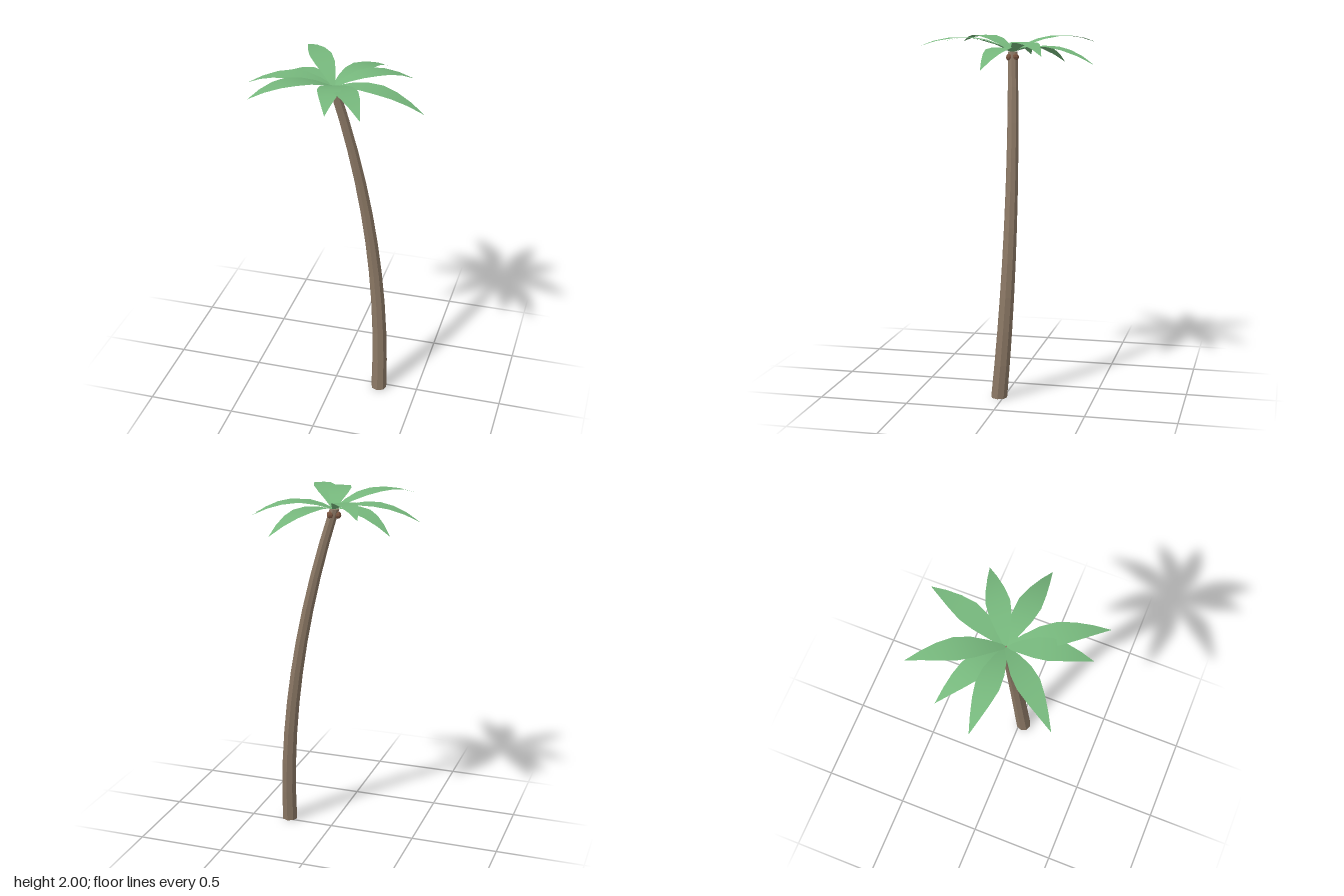
import * as THREE from 'three';

const trunkMat = new THREE.MeshStandardMaterial({ color: 0x8a7764, flatShading: true });
const nutMat = new THREE.MeshStandardMaterial({ color: 0x7a5540, flatShading: true });
const leafMat = new THREE.MeshStandardMaterial({ color: 0x76b77c, side: THREE.DoubleSide });

const crown = new THREE.Vector3(-0.012, 1.918, 0.013);

// Eight-sided trunk: a cylinder bent along a gentle double curve
function trunk() {
  const h = 1.92;
  const geo = new THREE.CylinderGeometry(0.028, 0.046, h, 8, 10);
  geo.translate(0, h / 2, 0);
  const p = geo.attributes.position;
  for (let i = 0; i < p.count; i++) {
    const t = p.getY(i) / h;
    p.setX(i, p.getX(i) + 0.273 - 0.287 * t * t);
    p.setZ(i, p.getZ(i) + 0.025 - 0.17 * t * (1 - t) - 0.013 * t);
  }
  geo.computeVertexNormals();
  return new THREE.Mesh(geo, trunkMat);
}

// Half-width of a frond at even steps from root to tip
const widths = [0.01, 0.036, 0.057, 0.063, 0.048, 0.026, 0];

// Thin arched frond from the crown to its tip
function frond(tipX, tipY, tipZ) {
  const dx = tipX - crown.x, dz = tipZ - crown.z, dy = tipY - crown.y;
  const len = Math.hypot(dx, dz);
  const sx = dz / len, sz = -dx / len; // sideways direction
  const pos = [], index = [], n = widths.length - 1;
  widths.forEach((w, i) => {
    const t = i / n;
    const y = crown.y + (dy + 0.25) * t - 0.25 * t * t;
    for (const s of [-1, 0, 1]) {
      pos.push(crown.x + dx * t + sx * w * s, y, crown.z + dz * t + sz * w * s);
    }
    if (i === n) return;
    for (const k of [0, 1]) {
      const a = i * 3 + k;
      index.push(a, a + 1, a + 3);
      if (i < n - 1) index.push(a + 1, a + 4, a + 3);
      else index.push(a + 1, a + 4, a + 3);
    }
  });
  const geo = new THREE.BufferGeometry();
  geo.setAttribute('position', new THREE.Float32BufferAttribute(pos, 3));
  geo.setIndex(index);
  geo.computeVertexNormals();
  return new THREE.Mesh(geo, leafMat);
}

export function createModel() {
  const model = new THREE.Group();
  model.name = 'palmTree';

  const stem = trunk();
  stem.name = 'trunk';
  model.add(stem);

  // Frond tips around the crown
  const fronds = new THREE.Group();
  fronds.name = 'fronds';
  [
    [0.18, 1.86, -0.48], [0.37, 1.91, -0.23], [0.5, 1.84, 0.07],
    [0.255, 1.955, 0.475], [0.065, 1.95, 0.455], [-0.365, 1.963, 0.39],
    [-0.5, 1.883, 0.01], [-0.4, 1.846, -0.215], [-0.285, 1.965, -0.42],
  ].forEach((tip, i) => {
    const leaf = frond(...tip);
    leaf.name = `frond${i + 1}`;
    fronds.add(leaf);
  });
  model.add(fronds);

  // Nuts clustered under the crown
  const nuts = new THREE.Group();
  nuts.name = 'coconuts';
  [[-0.033, 1.888, 0.012], [0.006, 1.888, 0.025], [0.003, 1.89, -0.007]].forEach((c, i) => {
    const nut = new THREE.Mesh(new THREE.SphereGeometry(0.021, 8, 6), nutMat);
    nut.position.set(...c);
    nut.name = `coconut${i + 1}`;
    nuts.add(nut);
  });
  model.add(nuts);
  return model;
}
